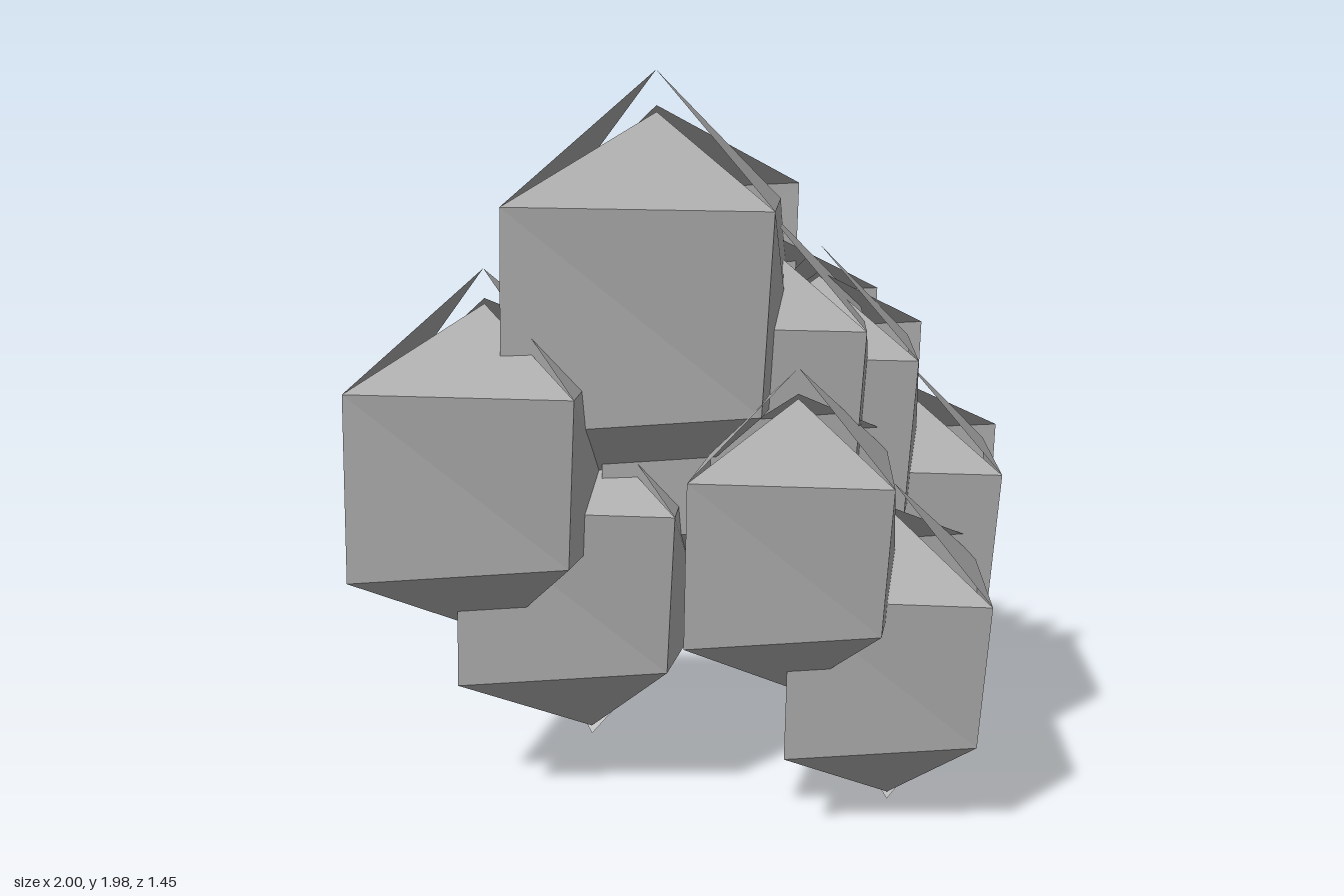
import * as THREE from 'three';

// Radial stretch of each vertex, row by row from the top pole to the bottom pole.
// Columns run: right (back copy), back, left, front, right (front copy).
const STRETCH = [
  [0.91, 1.07, 0.88, 1.07, 1.0],
  [1.02, 0.90, 0.99, 0.97, 0.88],
  [0.97, 0.87, 1.03, 0.87, 0.99],
  [1.0, 1.05, 0.98, 1.0, 1.0],
].flat();

// Low-poly ball with an uneven, slightly torn surface
function makeClumpGeometry() {
  const geometry = new THREE.SphereGeometry(1, 4, 3);
  const pos = geometry.attributes.position;
  const v = new THREE.Vector3();
  for (let i = 0; i < pos.count; i++) {
    v.fromBufferAttribute(pos, i).multiplyScalar(STRETCH[i]);
    pos.setXYZ(i, v.x, v.y, v.z);
  }
  geometry.rotateY(Math.PI); // puts the seam on the +x side
  geometry.computeVertexNormals();
  return geometry;
}

export function createModel() {
  const group = new THREE.Group();
  group.name = 'clumpCluster';
  const grey = new THREE.MeshStandardMaterial({
    color: 0xa8a8a8, flatShading: true, side: THREE.DoubleSide,
  });
  grey.name = 'grey';
  const geometry = makeClumpGeometry();

  // name, centre x, y, z, radius
  const clumps = [
    ['topClump', -0.13, 1.38, -0.17, 0.57],
    ['rightClump', -0.57, 0.97, -0.34, 0.485],
    ['lowerBackClump', -0.29, 0.63, -0.3, 0.48],
    ['frontClump', -0.05, 0.81, 0.31, 0.42],
    ['lowerFrontClump', 0.24, 0.46, 0.37, 0.43],
    ['leftClump', 0.58, 0.67, 0.05, 0.475],
    ['upperFrontClump', 0.3, 1.02, 0.0, 0.465],
    ['middleClump', 0.14, 1.06, -0.12, 0.57],
  ];
  for (const [name, x, y, z, radius] of clumps) {
    const clump = new THREE.Mesh(geometry, grey);
    clump.name = name;
    clump.position.set(x, y, z);
    clump.scale.setScalar(radius);
    group.add(clump);
  }
  return group;
}
